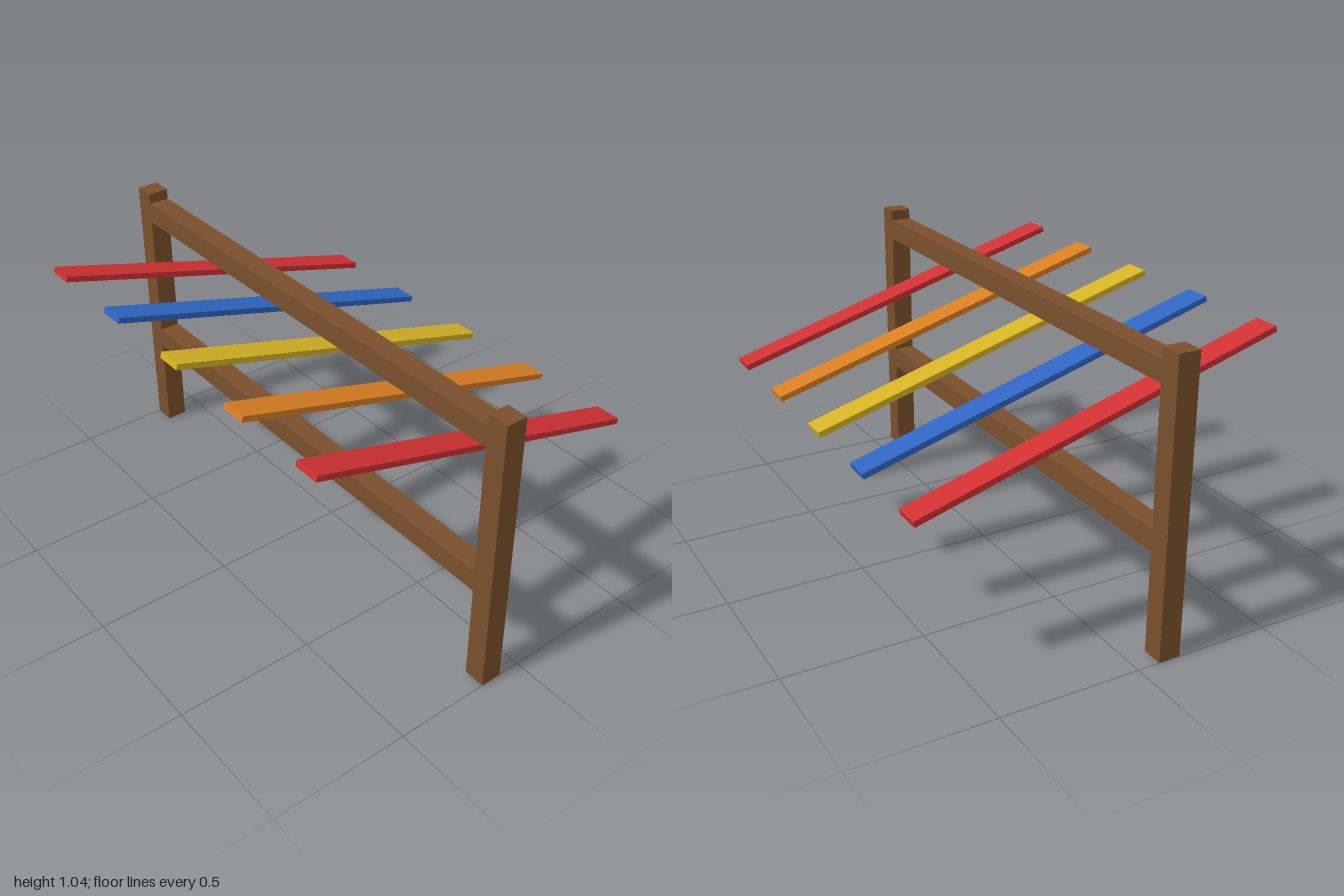
import * as THREE from 'three';

function material(name, color) {
  const m = new THREE.MeshStandardMaterial({ color });
  m.name = name;
  return m;
}

export function createModel() {
  const model = new THREE.Group();
  model.name = 'plankRack';

  const wood = material('brown wood', 0x7a502c);
  const red = material('red paint', 0xd03032);
  const blue = material('blue paint', 0x2f65c2);
  const yellow = material('yellow paint', 0xd4b224);
  const orange = material('orange paint', 0xd87e22);

  function box(name, size, position, mat) {
    const mesh = new THREE.Mesh(new THREE.BoxGeometry(...size), mat);
    mesh.name = name;
    mesh.position.set(...position);
    model.add(mesh);
    return mesh;
  }

  // Upright posts and the two rails between them
  const frameZ = 0.12;
  const beam = 0.078;
  for (const side of [-1, 1]) {
    box(side < 0 ? 'rightPost' : 'leftPost', [beam, 1.04, beam], [side * (1 - beam / 2), 0.52, frameZ], wood);
  }
  const railLength = 2 - 2 * beam;
  box('topRail', [railLength, beam, beam], [0, 0.962, frameZ], wood);
  box('lowerRail', [railLength, beam, beam], [0, 0.402, frameZ], wood);

  // Sloping planks, high at the front and low at the back
  [red, blue, yellow, orange, red].forEach((mat, i) => {
    const plank = box('plank' + (i + 1), [0.095, 0.021, 1.36], [(i - 2) * 0.36, 0.761, 0], mat);
    plank.rotation.x = -0.28;
  });

  return model;
}
